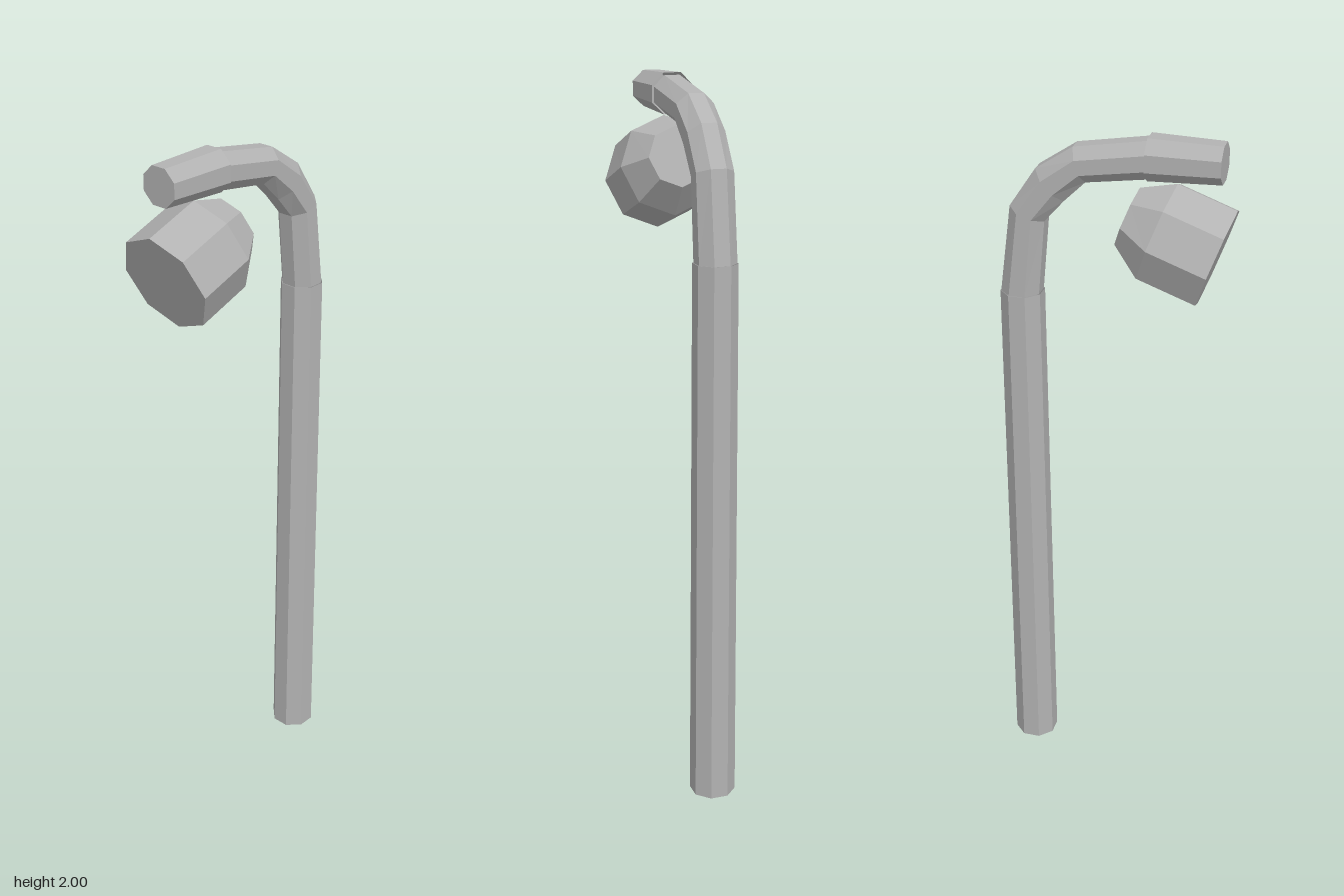
import * as THREE from 'three';

const SIDES = 8;

// Lofts an eight-sided skin through rings. Each ring is
// [outer z, outer y, inner z, inner y, half width].
function loft(rings, { flat = true, startCap = false, endCap = false } = {}) {
  const phase = flat ? Math.PI / SIDES : 0;
  const grow = flat ? 1 / Math.cos(Math.PI / SIDES) : 1;
  const centre = ([oz, oy, iz, iy]) => [0, (oy + iy) / 2, (oz + iz) / 2];
  const point = (ring, j) => {
    const [oz, oy, iz, iy, w] = ring;
    const a = phase + (j / SIDES) * Math.PI * 2;
    const c = Math.cos(a) * grow, s = Math.sin(a) * grow / 2;
    const [, y, z] = centre(ring);
    return [w * c, y + (oy - iy) * s, z + (oz - iz) * s];
  };
  const pos = [];
  const tri = (a, b, c) => pos.push(...a, ...b, ...c);
  const last = rings[rings.length - 1];
  for (let j = 0; j < SIDES; j++) {
    for (let i = 0; i < rings.length - 1; i++) {
      const a = point(rings[i], j), b = point(rings[i], j + 1);
      const c = point(rings[i + 1], j + 1), d = point(rings[i + 1], j);
      tri(a, b, c);
      tri(a, c, d);
    }
    if (startCap) tri(centre(rings[0]), point(rings[0], j + 1), point(rings[0], j));
    if (endCap) tri(centre(last), point(last, j), point(last, j + 1));
  }
  const geometry = new THREE.BufferGeometry();
  geometry.setAttribute('position', new THREE.Float32BufferAttribute(pos, 3));
  geometry.computeVertexNormals();
  return geometry;
}

export function createModel() {
  const metal = new THREE.MeshStandardMaterial({ color: 0xb2b2b2, side: THREE.DoubleSide, flatShading: true });
  metal.name = 'grey metal';
  const model = new THREE.Group();
  model.name = 'streetLamp';
  const add = (name, geometry) => {
    const mesh = new THREE.Mesh(geometry, metal);
    mesh.name = name;
    model.add(mesh);
  };

  // Hollow upright, tapering slightly
  add('pole', loft([
    [-0.322, 0, -0.202, 0, 0.06],
    [-0.315, 1.54, -0.203, 1.54, 0.056],
  ]));

  // Curved neck sweeping forward
  add('bend', loft([
    [-0.313, 1.54, -0.206, 1.54, 0.053],
    [-0.28, 1.785, -0.186, 1.75, 0.052],
    [-0.207, 1.893, -0.132, 1.811, 0.052],
    [-0.105, 1.96, -0.073, 1.868, 0.052],
    [0.093, 1.993, 0.093, 1.892, 0.052],
  ]));

  // Straight arm end, closed at the tip
  add('arm', loft([
    [0.09, 2, 0.09, 1.888, 0.058],
    [0.285, 1.995, 0.285, 1.895, 0.053],
  ], { endCap: true }));

  // Tilted lamp head with a chamfered back
  add('lampHead', loft([
    [0.066, 1.86, 0.006, 1.70, 0.086],
    [0.165, 1.88, 0.068, 1.614, 0.1415],
    [0.322, 1.823, 0.226, 1.557, 0.1415],
  ], { flat: false, startCap: true, endCap: true }));

  return model;
}
